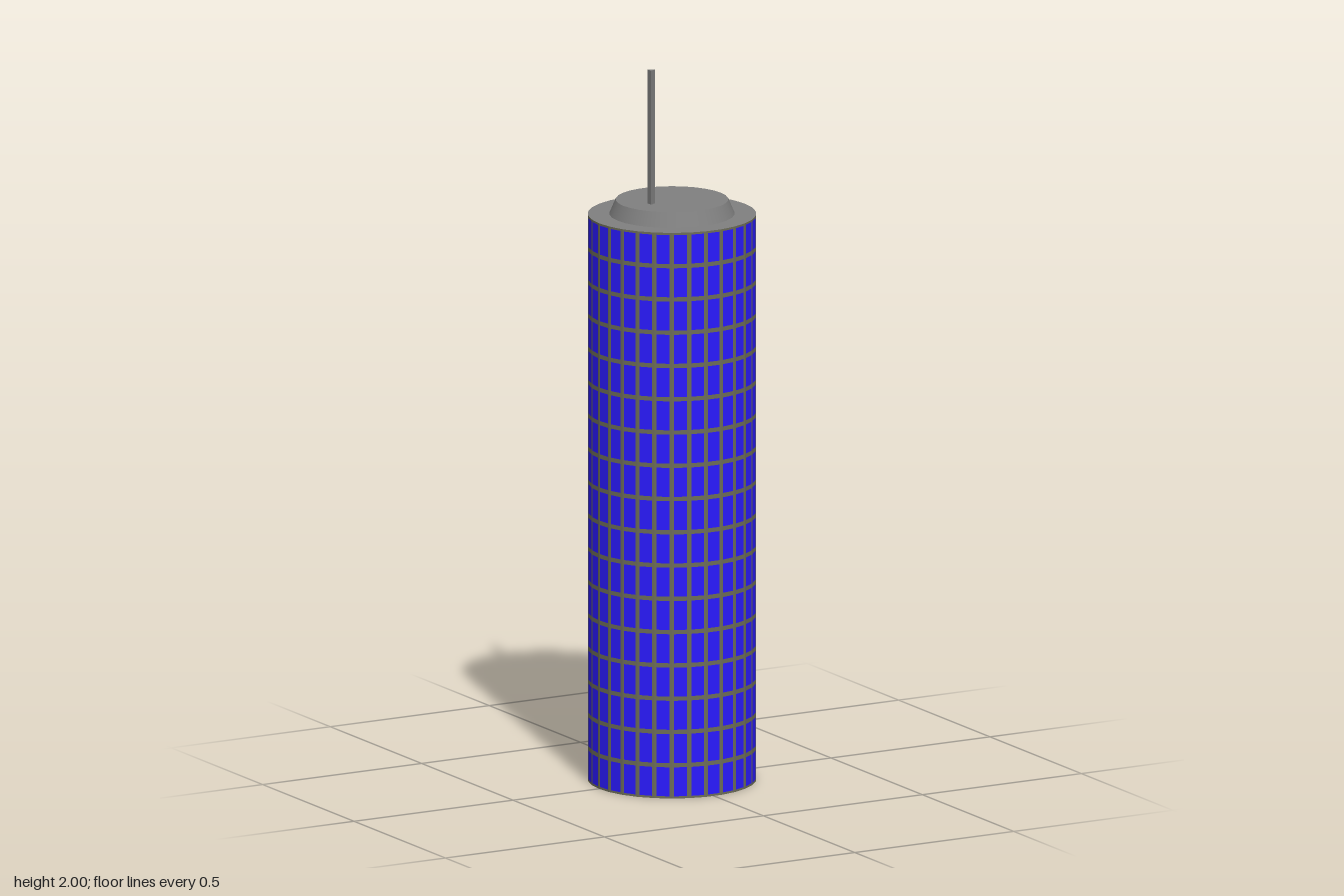
import * as THREE from 'three';
import { mergeGeometries } from 'three/addons/utils/BufferGeometryUtils.js';

const SIDES = 30, ROWS = 17, RADIUS = 0.23, HEIGHT = 1.585, BAR = 0.012;

const material = (color, options = {}) => new THREE.MeshStandardMaterial({ color, ...options });

function addMesh(group, name, geometry, mat) {
  const mesh = new THREE.Mesh(geometry, mat);
  mesh.name = name;
  group.add(mesh);
  return mesh;
}

// Flat rectangle lying on one facet of the tower wall
function wallPatch(facet, u, y, width, height) {
  const apothem = RADIUS * Math.cos(Math.PI / SIDES);
  return new THREE.PlaneGeometry(width, height)
    .translate(u, y, apothem)
    .rotateY((facet * 2 * Math.PI) / SIDES);
}

export function createModel() {
  const tower = new THREE.Group();
  tower.name = 'tower';

  const glass = material(0x2a1aff, { side: THREE.DoubleSide, flatShading: true });
  const frame = material(0x6c6c58, { side: THREE.DoubleSide, flatShading: true });
  const concrete = material(0x7f7f7f, { side: THREE.DoubleSide });

  // Curtain wall: windows framed by mullions and floor bands, flush on each facet
  const facetWidth = 2 * RADIUS * Math.sin(Math.PI / SIDES);
  const paneWidth = facetWidth - BAR;
  const floorHeight = HEIGHT / ROWS;
  const panes = [], bars = [];
  for (let f = 0; f < SIDES; f++) {
    for (const s of [-1, 1]) {
      bars.push(wallPatch(f, s * (facetWidth / 2 - BAR / 4), HEIGHT / 2, BAR / 2, HEIGHT));
    }
    for (let r = 0; r < ROWS; r++) {
      const y = (r + 0.5) * floorHeight;
      panes.push(wallPatch(f, 0, y, paneWidth, floorHeight - BAR));
      for (const s of [-1, 1]) {
        bars.push(wallPatch(f, 0, y + s * (floorHeight / 2 - BAR / 4), paneWidth, BAR / 2));
      }
    }
  }
  addMesh(tower, 'windows', mergeGeometries(panes), glass);
  addMesh(tower, 'windowFrames', mergeGeometries(bars), frame);

  // Flat roof; the base stays open
  const roof = new THREE.CircleGeometry(RADIUS, SIDES).rotateX(-Math.PI / 2);
  addMesh(tower, 'roof', roof, concrete).position.y = HEIGHT;

  // Tapered rooftop drum
  const drumHeight = 0.04;
  const drumSide = new THREE.CylinderGeometry(0.154, 0.171, drumHeight, SIDES, 1, true, Math.PI / 2);
  const drumTop = new THREE.CircleGeometry(0.154, SIDES).rotateX(-Math.PI / 2).translate(0, drumHeight / 2, 0);
  addMesh(tower, 'roofDrum', mergeGeometries([drumSide, drumTop]), concrete)
    .position.y = HEIGHT + drumHeight / 2;

  // Three-sided antenna mast
  const mastBase = HEIGHT + drumHeight;
  const mast = new THREE.CylinderGeometry(0.0115, 0.0115, 2 - mastBase, 3, 1, false, Math.PI / 2);
  addMesh(tower, 'antenna', mast, material(0x7f7f7f, { flatShading: true }))
    .position.set(-0.076, (2 + mastBase) / 2, 0.018);

  return tower;
}
